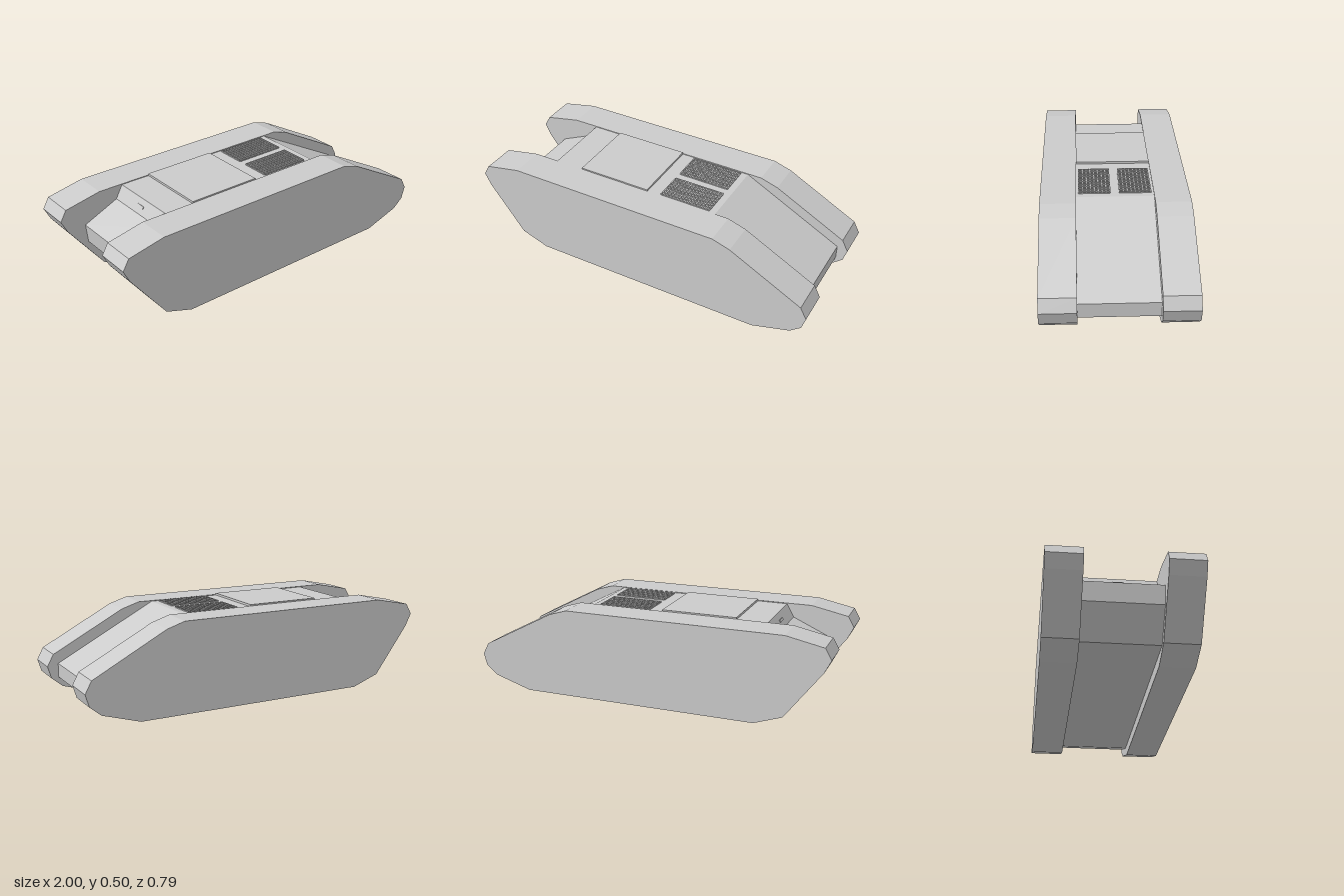
import * as THREE from 'three';

const material = new THREE.MeshStandardMaterial({ color: 0xcccccc, flatShading: true });

// Side profile (x, y) extruded across z from z0 to z1
function slab(name, points, z0, z1) {
  const shape = new THREE.Shape(points.map(([x, y]) => new THREE.Vector2(x, y)));
  const geometry = new THREE.ExtrudeGeometry(shape, { depth: z1 - z0, bevelEnabled: false });
  geometry.translate(0, 0, z0);
  const mesh = new THREE.Mesh(geometry, material);
  mesh.name = name;
  return mesh;
}

function box(name, w, h, d, x, y, z) {
  const mesh = new THREE.Mesh(new THREE.BoxGeometry(w, h, d), material);
  mesh.name = name;
  mesh.position.set(x, y, z);
  return mesh;
}

// Raised mesh of crossing bars over an engine opening
function grille(name, x0, x1, z0, z1) {
  const group = new THREE.Group();
  group.name = name;
  const columns = 14, rows = 8, bar = 0.006, y = 0.491;
  for (let i = 0; i <= columns; i++) {
    const x = THREE.MathUtils.lerp(x0, x1, i / columns);
    group.add(box('crossBar', bar, 0.006, z1 - z0, x, y, (z0 + z1) / 2));
  }
  for (let i = 0; i <= rows; i++) {
    const z = THREE.MathUtils.lerp(z0, z1, i / rows);
    group.add(box('longBar', x1 - x0, 0.006, bar, (x0 + x1) / 2, y, z));
  }
  return group;
}

export function createModel() {
  const model = new THREE.Group();
  model.name = 'trackedHull';
  const inner = 0.205, outer = 0.393;

  // Track housings on both sides
  const trackProfile = [
    [-0.61, 0], [0.71, 0], [0.92, 0.065], [0.98, 0.115], [1, 0.183], [0.965, 0.248],
    [0.56, 0.461], [0.46, 0.492], [-0.76, 0.492], [-0.965, 0.45], [-1, 0.39],
    [-0.965, 0.32], [-0.765, 0.055],
  ];
  model.add(slab('trackFront', trackProfile, inner, outer));
  model.add(slab('trackBack', trackProfile, -outer, -inner));

  // Central body with sloped nose, rear step and undercut
  model.add(slab('body', [
    [-0.72, 0.063], [0.76, 0.063], [0.94, 0.118], [0.94, 0.195], [0.38, 0.488],
    [-0.62, 0.488], [-0.66, 0.415], [-0.86, 0.325], [-0.85, 0.22],
  ], -inner, inner));

  // Raised roof plate
  model.add(box('roofPlate', 0.42, 0.014, 2 * inner, -0.24, 0.493, 0));

  // Engine grilles, mirrored about the centre line
  model.add(grille('grilleFront', 0.05, 0.34, 0.025, 0.19));
  model.add(grille('grilleBack', 0.05, 0.34, -0.19, -0.025));

  // Small vision slit on the rear step
  const slit = box('rearSlit', 0.006, 0.014, 0.06, -0.641, 0.452, 0);
  slit.rotation.z = -0.5;
  model.add(slit);

  return model;
}
